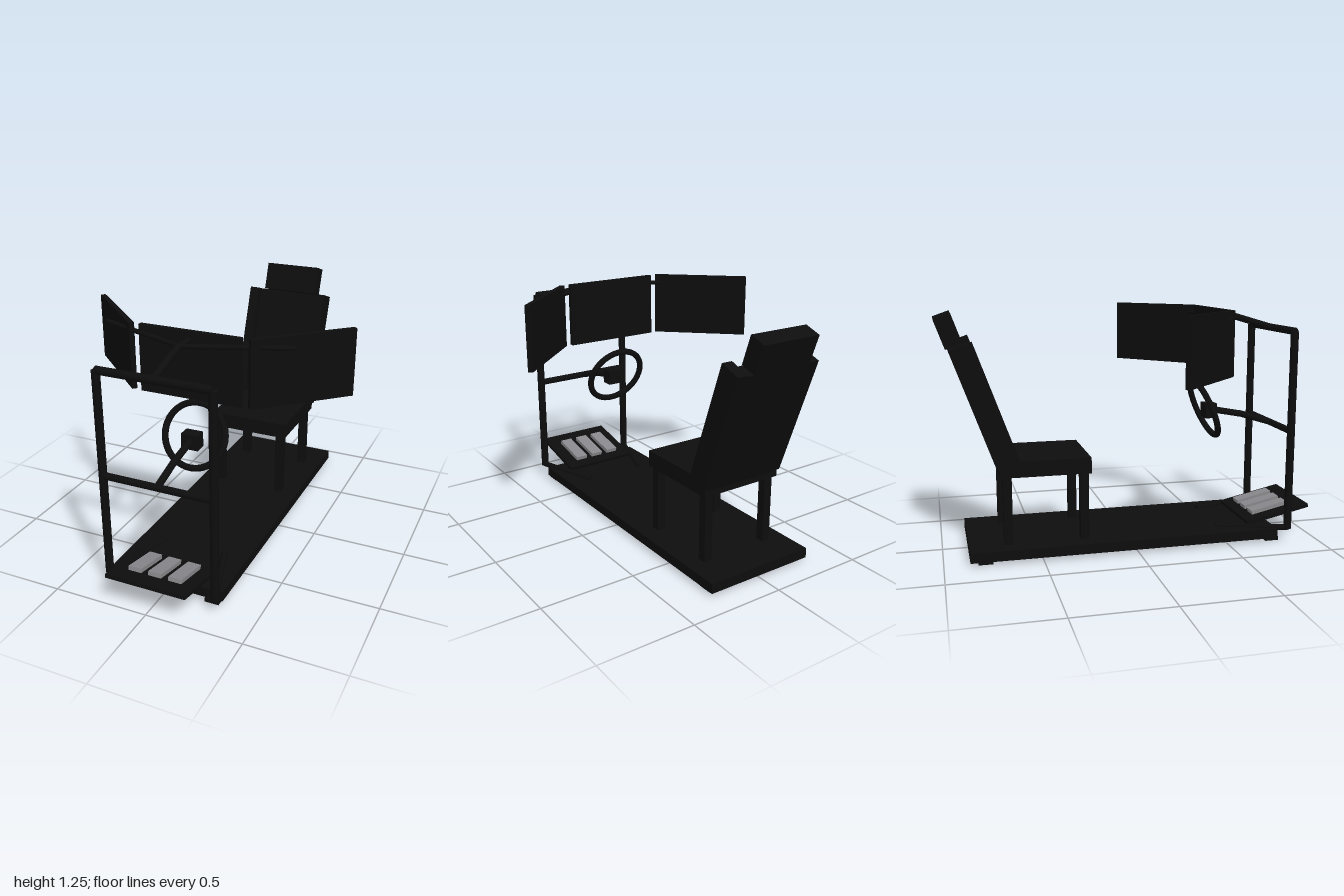
import * as THREE from 'three';

const mat = (name, color) => {
  const m = new THREE.MeshStandardMaterial({ color });
  m.name = name;
  return m;
};

export function createModel() {
  const model = new THREE.Group();
  model.name = 'drivingSimulatorRig';
  const black = mat('frame black', 0x0d0d0d);
  const grey = mat('pedal grey', 0x88888c);

  const box = (name, w, h, d, x, y, z, material = black, parent = model) => {
    const mesh = new THREE.Mesh(new THREE.BoxGeometry(w, h, d), material);
    mesh.name = name;
    mesh.position.set(x, y, z);
    parent.add(mesh);
    return mesh;
  };
  // round bar between two points
  const bar = (name, a, b, r) => {
    const from = new THREE.Vector3(...a), to = new THREE.Vector3(...b);
    const dir = to.clone().sub(from);
    const mesh = new THREE.Mesh(new THREE.CylinderGeometry(r, r, dir.length(), 16), black);
    mesh.name = name;
    mesh.position.copy(from).lerp(to, 0.5);
    mesh.quaternion.setFromUnitVectors(new THREE.Vector3(0, 1, 0), dir.normalize());
    model.add(mesh);
  };
  const group = (name, x, y, z, rx = 0, ry = 0) => {
    const g = new THREE.Group();
    g.name = name;
    g.position.set(x, y, z);
    g.rotation.set(rx, ry, 0);
    model.add(g);
    return g;
  };

  // base platform and feet
  box('basePlatform', 0.6, 0.052, 1.65, 0, 0.044, -0.045);
  for (const s of [-1, 1])
    for (const z of [0.755, -0.793]) box('foot', 0.074, 0.02, 0.074, s * 0.247, 0.01, z);

  // seat cushion and legs
  box('seatCushion', 0.45, 0.083, 0.47, 0, 0.467, -0.47);
  for (const s of [-1, 1])
    for (const z of [-0.27, -0.668]) box('seatLeg', 0.045, 0.38, 0.045, s * 0.186, 0.25, z);

  // reclined backrest: origin at the lower front edge of the bolsters
  const back = group('backrest', 0, 0.502, -0.6, -0.345);
  box('backPanel', 0.37, 0.65, 0.08, 0, 0.325, -0.083, black, back);
  for (const s of [-1, 1])
    box('backBolster', 0.056, 0.65, 0.117, s * 0.209, 0.325, -0.0585, black, back);
  box('headrest', 0.32, 0.154, 0.09, 0, 0.732, -0.088, black, back);

  // front frame
  for (const s of [-1, 1]) {
    bar('framePost', [s * 0.29, 0.065, 0.84], [s * 0.29, 1.14, 0.84], 0.021);
    bar('floorStrut', [s * 0.29, 0.07, 0.84], [s * 0.17, 0.072, 0.47], 0.016);
  }
  bar('topBar', [-0.29, 1.14, 0.84], [0.29, 1.14, 0.84], 0.02);
  bar('middleBar', [-0.29, 0.607, 0.84], [0.29, 0.607, 0.84], 0.018);

  // steering column, hub and wheel
  bar('steeringColumn', [0, 0.607, 0.84], [0, 0.662, 0.66], 0.018);
  bar('steeringColumn', [0, 0.66, 0.665], [0, 0.695, 0.48], 0.018);
  box('steeringHub', 0.09, 0.08, 0.065, 0, 0.69, 0.477);
  const wheel = new THREE.Mesh(new THREE.TorusGeometry(0.164, 0.017, 12, 48), black);
  wheel.name = 'steeringWheel';
  wheel.position.set(0, 0.702, 0.447);
  wheel.rotation.x = -0.38;
  model.add(wheel);

  // monitor arms
  bar('monitorStem', [0, 1.14, 0.84], [0, 1.213, 0.59], 0.018);
  bar('monitorStem', [0, 1.211, 0.6], [0, 1.211, 0.48], 0.013);
  for (const s of [-1, 1]) bar('monitorArm', [0, 1.211, 0.585], [s * 0.5, 1.211, 0.395], 0.012);

  // three monitors, screens facing the seat
  for (const s of [-1, 0, 1]) {
    const m = group('monitor', s * 0.5, 1.085, s ? 0.305 : 0.48, 0, s * 0.752);
    box('monitorBody', 0.53, 0.34, 0.026, 0, 0, 0, black, m);
    box('screen', 0.5, 0.31, 0.004, 0, 0, -0.014, black, m);
  }

  // sloped pedal plate with three pedals
  const pedals = group('pedalUnit', 0, 0.123, 0.82, -0.215);
  box('pedalPlate', 0.425, 0.02, 0.365, 0, 0, 0, black, pedals);
  for (const x of [-0.108, 0, 0.108]) box('pedal', 0.07, 0.022, 0.21, x, 0.023, -0.02, grey, pedals);

  return model;
}
